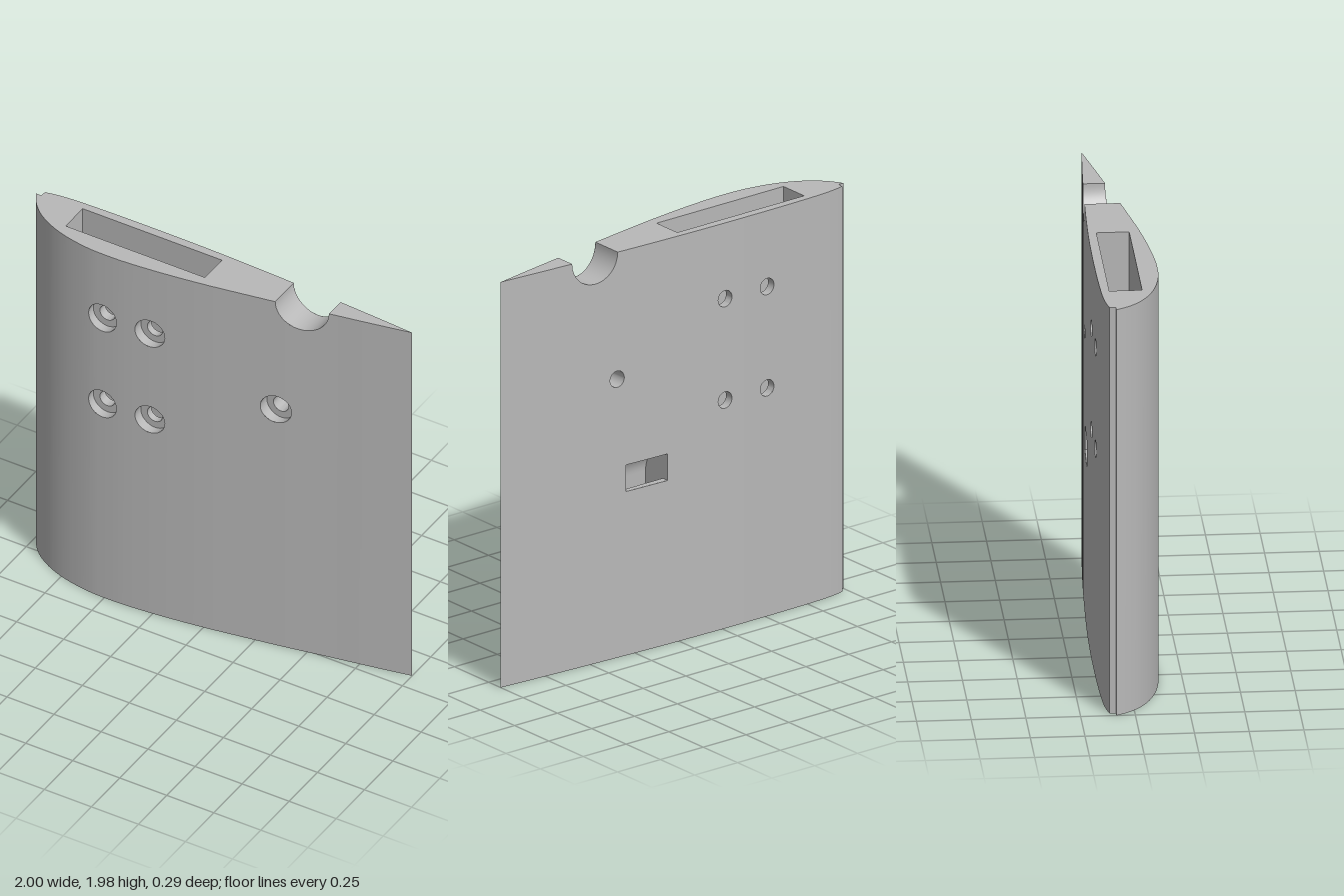
import * as THREE from 'three';
import { toCreasedNormals } from 'three/addons/utils/BufferGeometryUtils.js';

const H = 1.98;                                             // span of the wing section
const POCKET = { x0: -0.76, x1: -0.02, z0: -0.1, z1: 0.05, y: 0.74 };
const DUCT = { x0: 0.065, x1: 0.3, z0: -0.1, z1: 0.025, y0: 0.8, y1: 0.93 };
const NOTCH = { x: 0.475, y: H, r: 0.128 };
const BORE = 0.04, SINK = 0.075, SINK_DEPTH = 0.045;
const SCREWS = [[-0.51, 1.61], [-0.265, 1.61], [-0.51, 1.115], [-0.265, 1.115], [0.35, 1.36]];

// Aerofoil outline: z as a function of x for the front and back skins
const smooth = (pts, n) => new THREE.SplineCurve(pts.map(p => new THREE.Vector2(...p))).getPoints(n).map(p => [p.x, p.y]);
const FRONT = smooth([[-1, -0.087], [-0.98, -0.052], [-0.95, -0.012], [-0.9, 0.034], [-0.82, 0.08], [-0.72, 0.115],
  [-0.6, 0.137], [-0.5, 0.142], [-0.38, 0.139], [-0.2, 0.123], [0, 0.097], [0.2, 0.064], [0.4, 0.029],
  [0.6, -0.01], [0.8, -0.047], [1, -0.086]], 75);
const BACK = [[-1, -0.087], [-0.972, -0.086], ...smooth([[-0.97, -0.116], [-0.9, -0.129], [-0.8, -0.137], [-0.6, -0.142],
  [-0.4, -0.143], [-0.2, -0.142], [0, -0.138], [0.2, -0.131], [0.4, -0.122], [0.6, -0.112], [0.8, -0.1], [1, -0.086]], 44)];

function interpolate(pts, x) {
  let i = 1;
  while (i < pts.length - 1 && pts[i][0] < x) i++;
  const [a, b] = [pts[i - 1], pts[i]];
  return a[1] + (b[1] - a[1]) * (x - a[0]) / (b[0] - a[0]);
}
const front = x => interpolate(FRONT, x);
const back = x => interpolate(BACK, x);

// Cut-outs: x range, sample positions and the removed interval at each x
function roundCut(x, y, r) {
  const xs = Array.from({ length: 17 }, (_, k) => x - r * Math.cos(k * Math.PI / 16));
  const half = v => Math.sqrt(Math.max(0, r * r - (v - x) ** 2));
  return { x0: x - r, x1: x + r, xs, at: v => [y - half(v), y + half(v)] };
}
const boxCut = (x0, x1, lo, hi) => ({ x0, x1, xs: [x0, x1], at: () => [lo, hi] });

function finish(positions) {
  const g = new THREE.BufferGeometry();
  g.setAttribute('position', new THREE.Float32BufferAttribute(positions, 3));
  return toCreasedNormals(g, 0.5);
}

// Sheet made of narrow columns from lo(x) to hi(x), leaving the cut-outs open
function sheet(x0, x1, lo, hi, cuts, map, flip) {
  const xs = [x0, x1, ...FRONT.map(p => p[0]), ...BACK.map(p => p[0]), ...cuts.flatMap(c => c.xs)]
    .filter(x => x >= x0 && x <= x1).sort((a, b) => a - b)
    .filter((x, i, all) => i === 0 || x - all[i - 1] > 1e-6);
  const out = [];
  for (let i = 0; i < xs.length - 1; i++) {
    const [a, b] = [xs[i], xs[i + 1]], mid = (a + b) / 2;
    const spans = cuts.filter(c => c.x0 < mid && c.x1 > mid).sort((p, q) => p.at(mid)[0] - q.at(mid)[0]);
    const edges = x => [lo(x), ...spans.flatMap(c => c.at(x).map(v => Math.min(hi(x), Math.max(lo(x), v)))), hi(x)];
    const ea = edges(a), eb = edges(b);
    for (let k = 0; k < ea.length; k += 2) {
      const p = map(a, ea[k]), q = map(b, eb[k]), r = map(b, eb[k + 1]), s = map(a, ea[k + 1]);
      const ha = ea[k + 1] - ea[k] > 1e-6, hb = eb[k + 1] - eb[k] > 1e-6;
      if (hb) out.push(...(flip ? [p, r, q] : [p, q, r]).flat());
      if (ha) out.push(...(flip ? [p, s, r] : [p, r, s]).flat());
    }
  }
  return finish(out);
}

// Ruled surface between two matching point lists
function ruled(A, B) {
  const out = [];
  for (let i = 0; i < A.length - 1; i++) {
    out.push(...A[i], ...B[i], ...A[i + 1], ...B[i], ...B[i + 1], ...A[i + 1]);
  }
  return finish(out);
}

// Arc in the xy plane, its depth given by z(x)
function arc(cx, cy, r, z, from = 0, to = 2 * Math.PI, n = 32) {
  return Array.from({ length: n + 1 }, (_, k) => {
    const t = from + (to - from) * k / n, x = cx + r * Math.cos(t);
    return [x, cy + r * Math.sin(t), z(x)];
  });
}

export function createModel() {
  const model = new THREE.Group();
  model.name = 'wingSection';
  const grey = new THREE.MeshStandardMaterial({ color: 0xb8b8b8, side: THREE.DoubleSide });
  grey.name = 'grey';
  const add = (name, geometry) => {
    const mesh = new THREE.Mesh(geometry, grey);
    mesh.name = name;
    model.add(mesh);
  };
  const flat = v => () => v;
  const notch = roundCut(NOTCH.x, NOTCH.y, NOTCH.r);
  const notchGap = boxCut(notch.x0, notch.x1, -1, 1);
  const bores = SCREWS.map(([x, y]) => roundCut(x, y, BORE));

  // Outer skins
  add('frontSkin', sheet(-1, 1, flat(0), flat(H), [notch, ...SCREWS.map(([x, y]) => roundCut(x, y, SINK))],
    (x, y) => [x, y, front(x)], false));
  add('backSkin', sheet(-1, 1, flat(0), flat(H), [notch, ...bores, boxCut(DUCT.x0, DUCT.x1, DUCT.y0, DUCT.y1)],
    (x, y) => [x, y, back(x)], true));

  // End faces
  add('topFace', sheet(-1, 1, back, front, [notchGap, boxCut(POCKET.x0, POCKET.x1, POCKET.z0, POCKET.z1)],
    (x, z) => [x, H, z], true));
  add('bottomFace', sheet(-1, 1, back, front, [boxCut(DUCT.x0, DUCT.x1, DUCT.z0, DUCT.z1)],
    (x, z) => [x, 0, z], false));

  // Half-round notch in the top edge
  const notchArc = z => arc(NOTCH.x, NOTCH.y, NOTCH.r, z, Math.PI, 2 * Math.PI);
  add('notchWall', ruled(notchArc(front), notchArc(back)));

  // Countersunk screw holes; the first four pass through the pocket
  SCREWS.forEach(([x, y], i) => {
    const floor = flat(front(x) - SINK_DEPTH);
    const ring = (r, z) => arc(x, y, r, z);
    add('counterboreWall', ruled(ring(SINK, front), ring(SINK, floor)));
    add('counterboreFloor', ruled(ring(SINK, floor), ring(BORE, floor)));
    if (i < 4) {
      add('frontBore', ruled(ring(BORE, floor), ring(BORE, flat(POCKET.z1))));
      add('backBore', ruled(ring(BORE, flat(POCKET.z0)), ring(BORE, back)));
    } else add('throughBore', ruled(ring(BORE, floor), ring(BORE, back)));
  });

  // Pocket opening upwards
  const { x0, x1, z0, z1, y: py } = POCKET;
  for (const [name, z, flip] of [['pocketFrontWall', z1, true], ['pocketBackWall', z0, false]]) {
    add(name, sheet(x0, x1, flat(py), flat(H), bores.slice(0, 4), (x, y) => [x, y, z], flip));
  }
  add('pocketEndWall', ruled([[x0, py, z0], [x0, H, z0]], [[x0, py, z1], [x0, H, z1]]));
  add('pocketEndWall', ruled([[x1, py, z1], [x1, H, z1]], [[x1, py, z0], [x1, H, z0]]));
  add('pocketFloor', ruled([[x0, py, z0], [x0, py, z1]], [[x1, py, z0], [x1, py, z1]]).rotateX(0));

  // Duct rising from the bottom and bending out through the back
  const outer = x => {
    const pts = [[x, 0, DUCT.z1]];
    for (let k = 0; k <= 12; k++) {
      const t = k / 12 * Math.PI / 2;
      pts.push([x, DUCT.y0 + (DUCT.y1 - DUCT.y0) * Math.sin(t), DUCT.z0 + (DUCT.z1 - DUCT.z0) * Math.cos(t)]);
    }
    return [...pts, [x, DUCT.y1, back(x)]];
  };
  const inner = x => [[x, 0, DUCT.z0], ...Array.from({ length: 13 }, () => [x, DUCT.y0, DUCT.z0]), [x, DUCT.y0, back(x)]];
  add('ductOuterWall', ruled(outer(DUCT.x0), outer(DUCT.x1)));
  add('ductInnerWall', ruled(inner(DUCT.x1), inner(DUCT.x0)));
  add('ductSideWall', ruled(outer(DUCT.x1), inner(DUCT.x1)));
  add('ductSideWall', ruled(inner(DUCT.x0), outer(DUCT.x0)));

  return model;
}
